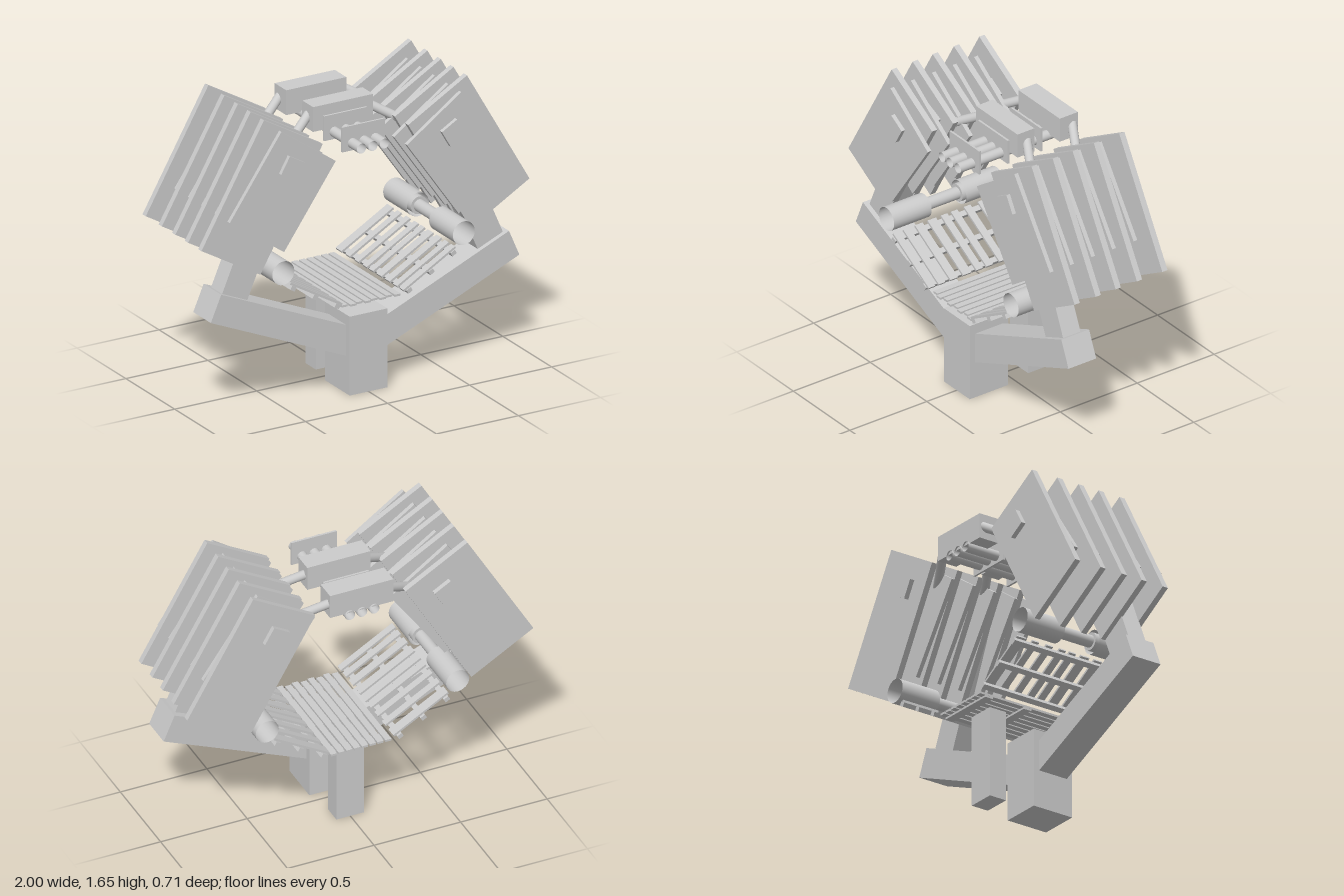
import * as THREE from 'three';

const grey = new THREE.MeshStandardMaterial({ color: 0xcccccc });
const greyOpen = new THREE.MeshStandardMaterial({ color: 0xcccccc, side: THREE.DoubleSide });
const deg = Math.PI / 180;

export function createModel() {
  const model = new THREE.Group();

  const add = (name, geometry, x, y, z, material = grey) => {
    const mesh = new THREE.Mesh(geometry, material);
    mesh.name = name;
    mesh.position.set(x, y, z);
    model.add(mesh);
    return mesh;
  };
  // Box spanning z0..z1, tilted in the xy plane by angle (degrees)
  const box = (name, w, h, x, y, z0, z1, angle = 0) => {
    const mesh = add(name, new THREE.BoxGeometry(w, h, z1 - z0), x, y, (z0 + z1) / 2);
    mesh.rotation.z = angle * deg;
    return mesh;
  };
  // Cylinder lying along z
  const tube = (name, r, x, y, z0, z1, open = false) => {
    const geometry = new THREE.CylinderGeometry(r, r, z1 - z0, 24, 1, open);
    geometry.rotateX(Math.PI / 2);
    return add(name, geometry, x, y, (z0 + z1) / 2, open ? greyOpen : grey);
  };
  // Round rod between two points
  const rod = (name, r, a, b) => {
    const dir = b.clone().sub(a);
    const mid = a.clone().add(b).multiplyScalar(0.5);
    const mesh = add(name, new THREE.CylinderGeometry(r, r, dir.length(), 20), mid.x, mid.y, mid.z);
    mesh.quaternion.setFromUnitVectors(new THREE.Vector3(0, 1, 0), dir.normalize());
  };

  // Supporting posts
  box('frontPost', 0.23, 0.445, 0, 0.2225, 0.055, 0.305);
  box('rearPost', 0.16, 0.51, 0, 0.255, -0.205, -0.1);

  // Flat middle floor: cross battens with planks on top
  for (const z of [-0.28, -0.03, 0.27]) box('floorBatten', 0.35, 0.012, 0, 0.512, z - 0.025, z + 0.025);
  for (let i = 0; i < 8; i++) {
    box('floorPlank', 0.035, 0.012, -0.158 + i * 0.045, 0.523, -0.34, i % 2 ? 0.34 : 0.328);
  }

  // Ceiling: two blocks, three long tubes and the plates that carry them
  box('rearCeilingBlock', 0.366, 0.14, 0, 1.482, -0.348, -0.23);
  box('middleCeilingBlock', 0.366, 0.14, 0, 1.482, -0.065, 0.045);
  for (const x of [-0.07, 0, 0.07]) tube('ceilingTube', 0.028, x, 1.4, -0.357, 0.35, true);
  for (const z of [-0.15, 0.065, 0.25]) box('tubePlate', 0.262, 0.14, 0, 1.428, z - 0.006, z + 0.006);

  const largePanels = [0.257, 0.12, -0.01, -0.148, -0.313];
  const smallPanels = [0.322, 0.189, 0.052, -0.083, -0.222];
  const slats = [[-0.313, 0.06], [-0.22, 0.042], [-0.13, 0.042], [-0.045, 0.042], [0.02, 0.042],
    [0.1, 0.055], [0.185, 0.05], [0.265, 0.042], [0.33, 0.042]];

  for (const s of [1, -1]) {
    const side = s > 0 ? 'left' : 'right';

    // Sloping arm and the upright it carries
    box(side + 'Arm', 0.92, 0.16, s * 0.486, 0.459, 0.09, 0.27, s * 23.2);
    box(side + 'Upright', 0.167, 0.845, s * 0.613, 1.058, 0.13, 0.243, s * 23.2);

    // Alternating large and small panels on a square rail
    for (const z of largePanels) {
      box(side + 'LargePanel', 0.414, 0.762, s * 0.63, 1.2125, z - 0.017, z + 0.017, s * 30);
    }
    for (const z of smallPanels) {
      box(side + 'SmallPanel', 0.404, 0.549, s * 0.54, 1.246, z - 0.012, z + 0.012, s * 35);
    }
    box(side + 'PanelRail', 0.107, 0.107, s * 0.49, 1.375, -0.357, 0.357, s * 30);

    // Diagonal rods from the ceiling blocks out to the panels
    for (const z of [-0.31, -0.015]) {
      rod(side + 'DiagonalRod', 0.025,
        new THREE.Vector3(s * 0.17, 1.487, z - 0.01), new THREE.Vector3(s * 0.72, 1.165, z + 0.285));
    }

    // Open sleeves at both ends of a long rod
    const cx = s * 0.55, cy = 0.798;
    tube(side + 'FrontSleeve', 0.067, cx, cy, 0.113, 0.357, true);
    tube(side + 'RearSleeve', 0.067, cx, cy, -0.357, -0.113, true);
    tube(side + 'FrontCollar', 0.05, cx, cy, 0.1, 0.2);
    tube(side + 'RearCollar', 0.05, cx, cy, -0.2, -0.1);
    tube(side + 'SleeveRod', 0.034, cx, cy, -0.22, 0.22);

    // Sloping slatted platform with rails beneath
    for (const [z, w] of slats) {
      box(side + 'Slat', 0.365, 0.012, s * 0.345, 0.636, z - w / 2, z + w / 2, s * 30);
    }
    for (const t of [-0.155, 0, 0.155]) {
      const x = 0.345 + t * 0.866 + 0.009, y = 0.636 + t * 0.5 - 0.0156;
      box(side + 'SlatRail', 0.03, 0.024, s * x, y, -0.357, 0.357, s * 30);
    }
  }
  return model;
}
